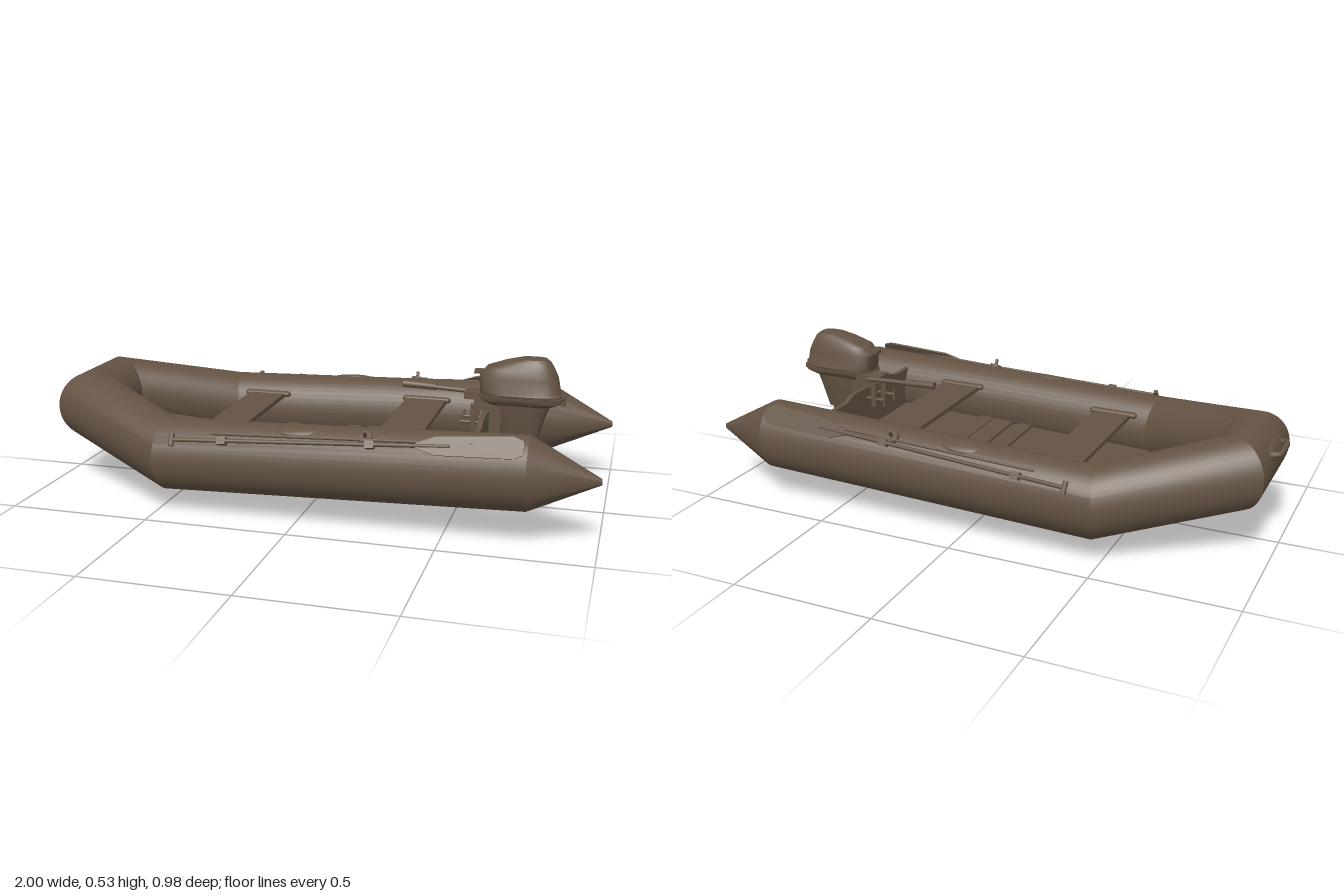
import * as THREE from 'three';
import { toCreasedNormals } from 'three/addons/utils/BufferGeometryUtils.js';

const material = new THREE.MeshStandardMaterial({ color: 0x645343, side: THREE.DoubleSide });
const V = (x, y, z) => new THREE.Vector3(x, y, z);

function add(parent, name, geometry, pos = [0, 0, 0], rot = [0, 0, 0]) {
  const mesh = new THREE.Mesh(geometry, material);
  mesh.name = name;
  mesh.position.set(...pos);
  mesh.rotation.set(...rot);
  parent.add(mesh);
  return mesh;
}

// Skin over a list of equal-length rings, with both ends capped
function loft(rings, crease = 0.45) {
  const n = rings[0].length, pts = rings.flat(), index = [];
  for (let i = 0; i < rings.length - 1; i++) {
    for (let j = 0; j < n; j++) {
      const a = i * n + j, b = i * n + (j + 1) % n;
      index.push(a, b, a + n, b, b + n, a + n);
    }
  }
  const last = (rings.length - 1) * n;
  for (let j = 1; j < n - 1; j++) index.push(0, j + 1, j, last, last + j, last + j + 1);
  const geometry = new THREE.BufferGeometry().setFromPoints(pts);
  geometry.setIndex(index);
  return toCreasedNormals(geometry, crease);
}

// Upright body from rows of [y, xBack, xFront, halfWidth], with rounded-box sections
function uprightBody(rows, power, z) {
  const soft = (t) => Math.sign(t) * Math.abs(t) ** power;
  return loft(rows.map(([y, x0, x1, w]) => Array.from({ length: 28 }, (_, j) => {
    const a = j / 28 * Math.PI * 2;
    return V((x0 + x1) / 2 + soft(Math.cos(a)) * (x1 - x0) / 2, y, z - soft(Math.sin(a)) * w);
  })), 0.6);
}

// Straight round bar between two points
function bar(parent, name, a, b, r0, r1 = r0) {
  const d = b.clone().sub(a);
  const mesh = add(parent, name, new THREE.CylinderGeometry(r1, r0, d.length(), 12));
  mesh.position.copy(a).addScaledVector(d, 0.5);
  mesh.quaternion.setFromUnitVectors(V(0, 1, 0), d.normalize());
  return mesh;
}

// Flat plate drawn in x and y, centred on z = 0
function plate(points, depth) {
  const shape = new THREE.Shape(points.map(([x, y]) => new THREE.Vector2(x, y)));
  return new THREE.ExtrudeGeometry(shape, { depth, bevelEnabled: false }).translate(0, 0, -depth / 2);
}

function buoyancyTube() {
  const half = [[1, 0.225, 0.345, 0.08], [0.77, 0.236, 0.352, 1], [-0.46, 0.198, 0.355, 1], [-0.865, 0.286, 0.13, 1]];
  const path = [...half, ...half.slice().reverse().map(([x, y, z, k]) => [x, y, -z, k])];
  const heading = (i) => V(path[i + 1][0] - path[i][0], 0, path[i + 1][2] - path[i][2]).normalize();
  const up = V(0, 1, 0);
  return loft(path.map(([x, y, z, k], i) => {
    const d0 = heading(Math.max(i - 1, 0)), d1 = heading(Math.min(i, path.length - 2));
    const mid = d0.clone().add(d1).normalize();
    const side = up.clone().cross(mid).multiplyScalar(0.107 * k / mid.dot(d0)); // mitred joint
    return Array.from({ length: 40 }, (_, j) => {
      const a = j / 40 * Math.PI * 2;
      return V(x, y, z).addScaledVector(side, Math.cos(a)).addScaledVector(up, 0.125 * k * Math.sin(a));
    });
  }), 0.4);
}

function floor() {
  const stations = [[-0.84, 0.223, 0.12], [-0.46, 0.13, 0.29], [0.585, 0.167, 0.28]];
  return loft(stations.map(([x, y, w]) => [V(x, y, -w), V(x, y + 0.015, -w), V(x, y + 0.015, w), V(x, y, w)]), 0.1);
}

function motor() {
  const g = new THREE.Group();
  const z = -0.006;
  g.name = 'outboardMotor';
  add(g, 'motorCowl', uprightBody([
    [0.368, 0.585, 0.81, 0.05], [0.382, 0.56, 0.84, 0.067], [0.41, 0.558, 0.838, 0.076], [0.415, 0.556, 0.832, 0.074],
    [0.465, 0.553, 0.822, 0.068], [0.495, 0.575, 0.808, 0.06], [0.518, 0.64, 0.795, 0.047], [0.53, 0.69, 0.78, 0.036],
  ], 0.65, z));
  add(g, 'cowlSeam', uprightBody([[0.392, 0.553, 0.845, 0.077], [0.402, 0.553, 0.845, 0.079]], 0.65, z));
  add(g, 'cowlLatch', new THREE.BoxGeometry(0.015, 0.04, 0.025), [0.842, 0.39, z]);
  add(g, 'starterGrip', new THREE.BoxGeometry(0.03, 0.012, 0.035), [0.55, 0.475, z]);
  add(g, 'motorLeg', uprightBody([
    [0.37, 0.59, 0.8, 0.055], [0.33, 0.605, 0.785, 0.05], [0.24, 0.635, 0.76, 0.03], [0.235, 0.645, 0.745, 0.018],
    [0.13, 0.665, 0.755, 0.016], [0.06, 0.67, 0.76, 0.014],
  ], 0.8, z));
  add(g, 'cavitationPlate', plate([[0.65, -0.015], [0.7, -0.03], [0.81, -0.03], [0.81, 0.03], [0.7, 0.03], [0.65, 0.015]], 0.007),
    [0, 0.127, z], [Math.PI / 2, 0, 0]);
  const gearcase = add(g, 'gearcase', new THREE.CapsuleGeometry(0.02, 0.085, 6, 16), [0.715, 0.068, z], [0, 0, Math.PI / 2]);
  gearcase.scale.set(1, 1, 0.9);
  add(g, 'skeg', plate([[0.66, 0.065], [0.72, 0.005], [0.745, 0], [0.755, 0.065]], 0.005), [0, 0, z]);

  // Propeller
  const hub = new THREE.Group();
  hub.name = 'propeller';
  hub.position.set(0.785, 0.07, z);
  g.add(hub);
  add(hub, 'propellerHub', new THREE.CylinderGeometry(0.008, 0.014, 0.05, 16), [0, 0, 0], [0, 0, -Math.PI / 2]);
  for (let i = 0; i < 3; i++) {
    const arm = new THREE.Group();
    arm.rotation.x = i * Math.PI * 2 / 3;
    hub.add(arm);
    add(arm, 'propellerBlade', new THREE.SphereGeometry(1, 14, 10), [0, 0.028, 0], [0, 0.5, 0]).scale.set(0.004, 0.022, 0.02);
  }

  // Transom clamp and swivel
  add(g, 'swivelBracket', new THREE.BoxGeometry(0.05, 0.13, 0.05), [0.62, 0.28, z]);
  for (const s of [-1, 1]) {
    const zc = z + s * 0.037;
    add(g, 'clampBracket', plate([[0.53, 0.365], [0.64, 0.365], [0.63, 0.22], [0.595, 0.22], [0.595, 0.345], [0.55, 0.345], [0.55, 0.27], [0.53, 0.27]], 0.016), [0, 0, zc]);
    bar(g, 'clampScrew', V(0.495, 0.3, zc), V(0.578, 0.3, zc), 0.006);
    add(g, 'clampHandle', new THREE.BoxGeometry(0.008, 0.045, 0.008), [0.497, 0.3, zc]);
  }

  // Steering tiller
  add(g, 'tillerBracket', new THREE.BoxGeometry(0.1, 0.025, 0.07), [0.55, 0.385, -0.035]);
  bar(g, 'tillerArm', V(0.55, 0.385, -0.065), V(0.37, 0.393, -0.065), 0.01, 0.008);
  bar(g, 'tillerGrip', V(0.39, 0.393, -0.065), V(0.27, 0.398, -0.065), 0.012, 0.014);
  return g;
}

// Paddle stowed along a side tube; s is +1 or -1 for the side
function paddle(s) {
  const g = new THREE.Group();
  g.name = 'paddle';
  g.position.set(0.17, 0.312, s * 0.448);
  g.rotation.set(-s * 0.5, s * 0.015, 0.06);
  bar(g, 'paddleShaft', V(-0.57, 0, 0), V(0.36, 0, 0), 0.007);
  bar(g, 'paddleGrip', V(-0.575, -0.022, 0), V(-0.575, 0.022, 0), 0.009);
  add(g, 'paddleBlade', plate([[0.25, -0.008], [0.31, -0.03], [0.56, -0.036], [0.59, -0.022], [0.59, 0.022], [0.56, 0.036], [0.31, 0.03], [0.25, 0.008]], 0.008));
  for (const x of [-0.4, 0.1]) add(g, 'paddleClip', new THREE.BoxGeometry(0.03, 0.025, 0.025), [x, 0, -s * 0.006]);
  return g;
}

export function createModel() {
  const boat = new THREE.Group();
  boat.name = 'inflatableBoat';
  add(boat, 'buoyancyTube', buoyancyTube());
  add(boat, 'floor', floor());

  // Floor slats
  for (const [x, w] of [[0.045, 0.05], [0.14, 0.08], [0.21, 0.05], [-0.2, 0.05]]) {
    add(boat, 'floorSlat', new THREE.BoxGeometry(w, 0.012, 0.52), [x, 0.165 + x * 0.035, 0], [0, 0, 0.035]);
  }

  // Transom board with a raised centre
  const outline = [[-0.29, 0.17], [0.29, 0.17], [0.28, 0.322], [0.18, 0.322], [0.135, 0.34], [-0.135, 0.34], [-0.18, 0.322], [-0.28, 0.322]];
  add(boat, 'transom', plate(outline, 0.018), [0.582, 0, 0], [0, Math.PI / 2, 0]);

  // Bench seats with their tube mounts
  for (const [x, w, y] of [[-0.308, 0.135, 0.27], [0.32, 0.15, 0.29]]) {
    add(boat, 'benchSeat', new THREE.BoxGeometry(w, 0.016, 0.52), [x, y, 0]);
    for (const s of [-1, 1]) {
      const mount = add(boat, 'seatMount', new THREE.CapsuleGeometry(0.014, 0.155, 6, 12), [x, y + 0.004, s * 0.256], [0, 0, Math.PI / 2]);
      mount.scale.set(0.8, 1, 1.1);
    }
  }

  for (const s of [-1, 1]) {
    boat.add(paddle(s));
    // Lifeline along the tube
    const line = new THREE.CatmullRomCurve3([V(-0.28, 0.303, s * 0.425), V(0, 0.315, s * 0.427), V(0.3, 0.327, s * 0.426), V(0.6, 0.34, s * 0.425)]);
    add(boat, 'lifeline', new THREE.TubeGeometry(line, 24, 0.005, 8));
    // Oval patch and rowlock
    add(boat, 'ovalPatch', new THREE.SphereGeometry(1, 28, 12), [0.005, 0.327, s * 0.383], [s * 0.33, 0, 0.03]).scale.set(0.078, 0.012, 0.036);
    add(boat, 'rowlockBase', new THREE.CylinderGeometry(0.022, 0.028, 0.02, 16), [0.25, 0.325, s * 0.413], [s * 0.6, 0, 0]);
    add(boat, 'rowlockPin', new THREE.CylinderGeometry(0.006, 0.006, 0.04, 10), [0.25, 0.338, s * 0.42], [s * 0.6, 0, 0]);
    // Towing ring on the transom and valve inside the bow
    add(boat, 'towRing', new THREE.TorusGeometry(0.012, 0.003, 8, 16), [0.6, 0.288, s * 0.155]);
    add(boat, 'airValve', new THREE.CylinderGeometry(0.013, 0.013, 0.012, 16), [-0.59, 0.28, s * 0.2], [-s * 0.9, 0, 0]);
  }

  // Bow carrying handle
  const grip = new THREE.CatmullRomCurve3([V(-0.955, 0.34, -0.068), V(-0.985, 0.342, -0.06), V(-0.991, 0.342, 0), V(-0.985, 0.342, 0.06), V(-0.955, 0.34, 0.068)]);
  add(boat, 'bowHandle', new THREE.TubeGeometry(grip, 28, 0.01, 10));
  add(boat, 'bowHandlePad', new THREE.SphereGeometry(1, 24, 12), [-0.961, 0.338, 0], [0, 0, -0.35]).scale.set(0.012, 0.032, 0.085);

  boat.add(motor());
  return boat;
}
